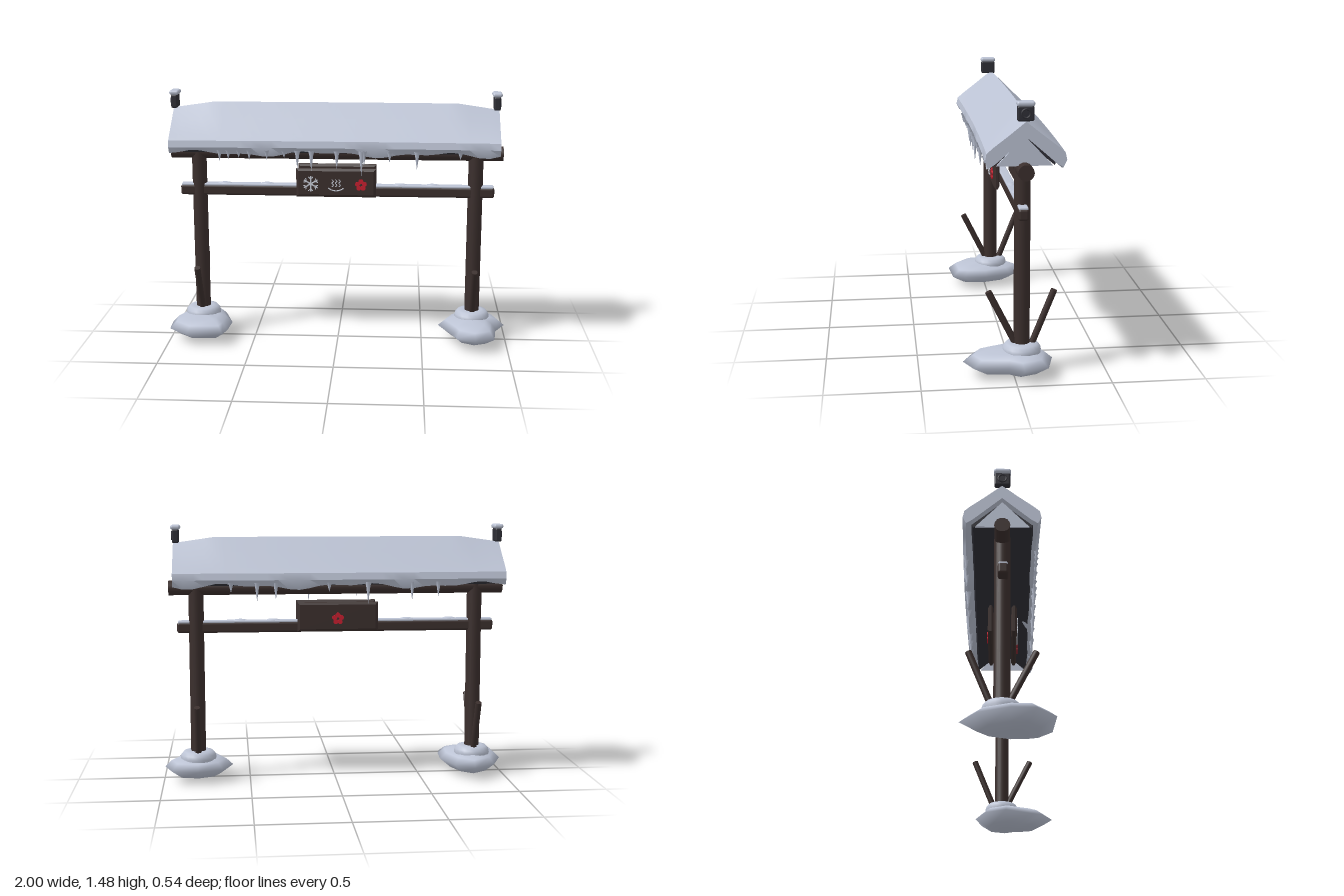
import * as THREE from 'three';
import { toCreasedNormals } from 'three/addons/utils/BufferGeometryUtils.js';
import { RoundedBoxGeometry } from 'three/addons/geometries/RoundedBoxGeometry.js';

const paint = (name, color) => Object.assign(new THREE.MeshStandardMaterial({ color }), { name });
const snow = paint('snow', 0xbcc3d4);
const wood = paint('dark wood', 0x3b2f2d);
const tile = paint('dark tile', 0x2f2f36);
const red = paint('red', 0xc81f2f);
const pale = paint('pale emblem', 0xc9ced8);

const CZ = -0.045; // depth of the posts and the ridge
const V = (x, y, z) => new THREE.Vector3(x, y, z);

function add(parent, name, geometry, material, x = 0, y = 0, z = 0) {
  const mesh = new THREE.Mesh(geometry, material);
  mesh.name = name;
  mesh.position.set(x, y, z);
  parent.add(mesh);
  return mesh;
}

// Skin over closed rings of points; capped adds flat ends for rings running along x
function loft(rings, capped) {
  const n = rings[0].length, index = [];
  const last = (rings.length - 1) * n;
  for (let i = 0; i < rings.length - 1; i++) {
    for (let j = 0; j < n; j++) {
      const a = i * n + j, b = i * n + (j + 1) % n;
      index.push(a, b, b + n, a, b + n, a + n);
    }
  }
  if (capped) {
    const outline = rings[0].map(p => new THREE.Vector2(-p.z, p.y));
    for (const [a, b, c] of THREE.ShapeUtils.triangulateShape(outline, [])) {
      index.push(c, b, a, last + a, last + b, last + c);
    }
  }
  const geometry = new THREE.BufferGeometry().setFromPoints(rings.flat());
  geometry.setIndex(index);
  geometry.computeVertexNormals();
  return geometry;
}

// Round pole between two points
function pole(parent, name, from, to, radius, material, sides = 16) {
  const dir = to.clone().sub(from);
  const mesh = add(parent, name, new THREE.CylinderGeometry(radius, radius, dir.length(), sides), material);
  mesh.position.copy(from).add(to).multiplyScalar(0.5);
  mesh.quaternion.setFromUnitVectors(V(0, 1, 0), dir.normalize());
  return mesh;
}

// Mirror half a roof profile, from ridge top to ridge underside, about the ridge
function roofRing(x, half, bow = 0) {
  const back = half.slice(1, -1).reverse().map(([z, y]) => [-z, y]);
  return [...half, ...back].map(([z, y]) => V(x, y, CZ + bow + z));
}

function buildRoof(group) {
  const x0 = -0.96, x1 = 0.925, rings = [];
  for (let i = 0; i <= 32; i++) {
    const x = x0 + (x1 - x0) * i / 32;
    const edge = Math.min(x - x0, x1 - x);
    const rise = 0.034 * Math.min(edge / 0.235, 1);
    const sag = edge > 0 ? 0.012 * Math.sin(x * 9 + 2.5) + 0.008 * Math.sin(x * 21) : 0;
    const bow = -0.015 * (1 - x * x);
    rings.push(roofRing(x, [[0, 1.378 + rise], [0.085, 1.31 + rise * 0.6], [0.17, 1.245], [0.2, 1.218],
      [0.208, 1.18], [0.19, 1.143 + sag], [0.155, 1.165 + sag * 0.5], [0, 1.3]], bow));
  }
  add(group, 'roofSnow', toCreasedNormals(loft(rings, true), 0.6), snow);

  // Dark boards below the snow, closed by a pale gable at each end
  const boards = [[0, 1.31], [0.165, 1.168], [0.155, 1.145], [0, 1.275]];
  add(group, 'roofBoards', toCreasedNormals(loft([-0.91, 0.875].map(x => roofRing(x, boards)), true), 0.3), tile);
  for (const x of [-0.915, 0.88]) {
    const gable = [-0.006, 0.006].map(d => [[0, 1.3], [0.145, 1.145], [-0.145, 1.145]].map(([z, y]) => V(x + d, y, CZ + z)));
    add(group, 'gable', toCreasedNormals(loft(gable, true), 0.3), snow);
  }

  // Icicles as [x, tip height]
  const front = [[-0.67, 1.1], [-0.62, 1.11], [-0.56, 1.12], [-0.5, 1.11], [-0.4, 1.11], [-0.3, 1.12], [-0.225, 1.06],
    [-0.145, 1.045], [0, 1.06], [0.14, 1.02], [0.155, 1.08], [0.3, 1.1], [0.455, 1.06], [0.7, 1.12]];
  const rear = [[0.455, 1.06], [0.35, 1.07], [0.05, 1.11], [-0.17, 1.04], [-0.42, 1.06], [-0.57, 1.08], [0.6, 1.11]];
  for (const [list, z] of [[front, 0.14], [rear, -0.245]]) {
    for (const [x, tip] of list) {
      const h = 1.165 - tip;
      const profile = [[0, 0], [0.006, h * 0.4], [0.011, h * 0.75], [0.018, h]].map(p => new THREE.Vector2(...p));
      add(group, 'icicle', new THREE.LatheGeometry(profile, 8), snow, x, tip, z);
    }
  }

  // Ridge end blocks with a round boss and a snow cap
  for (const [x, side] of [[-0.95, -1], [0.91, 1]]) {
    add(group, 'ridgeBlock', new RoundedBoxGeometry(0.038, 0.078, 0.086, 2, 0.01), tile, x, 1.418, CZ);
    add(group, 'ridgeBoss', new THREE.TorusGeometry(0.022, 0.005, 6, 16), tile, x + side * 0.019, 1.42, CZ).rotation.y = Math.PI / 2;
    add(group, 'ridgeSnow', new RoundedBoxGeometry(0.055, 0.026, 0.092, 3, 0.012), snow, x, 1.468, CZ);
  }
}

// Post with two leaning struts, a collar of snow and a drift
function buildPost(group, x, outline) {
  pole(group, 'post', V(x, 0.08, CZ), V(x, 1.14, CZ), 0.043, wood, 20);
  pole(group, 'frontStrut', V(x, 0.1, -0.045), V(x, 0.457, 0.133), 0.018, wood, 10);
  pole(group, 'backStrut', V(x, 0.1, -0.075), V(x, 0.457, -0.217), 0.018, wood, 10);
  const collar = [[0.1, 0.1], [0.104, 0.13], [0.1, 0.15], [0.085, 0.168], [0.06, 0.172], [0, 0.172]];
  add(group, 'snowCollar', new THREE.LatheGeometry(collar.map(p => new THREE.Vector2(...p)), 20), snow, x, 0, CZ);
  const levels = [[0, 0], [0.3, 0.005], [0.65, 0.024], [1, 0.076], [0.8, 0.112], [0.55, 0.132], [0, 0.14]];
  const cz = 0;
  const rings = levels.map(([s, y]) => outline.map(([px, pz]) => V(x + (px - x) * s, y, cz + (pz - cz) * s)));
  add(group, 'snowDrift', loft(rings), snow);
}

function buildBeams(group) {
  pole(group, 'topBeam', V(-0.98, 1.122, CZ), V(0.955, 1.122, CZ), 0.042, wood, 14);
  add(group, 'lowerBeam', new RoundedBoxGeometry(1.84, 0.062, 0.056, 2, 0.014), wood, -0.01, 0.893, -0.04);
  add(group, 'beamSnow', new RoundedBoxGeometry(1.83, 0.016, 0.05, 2, 0.007), snow, -0.01, 0.925, -0.04);
  for (const x of [-0.67, -0.42, 0.36, 0.55]) {
    add(group, 'beamSnowLump', new THREE.SphereGeometry(1, 14, 8), snow, x, 0.929, -0.04).scale.set(0.045, 0.011, 0.024);
  }
}

// Five petals around a dark centre
function buildFlower(parent, x, y) {
  const flower = new THREE.Group();
  flower.name = 'flower';
  flower.position.set(x, y, 0.003);
  for (let i = 0; i < 5; i++) {
    const a = Math.PI / 2 + i * Math.PI * 0.4;
    add(flower, 'petal', new THREE.CylinderGeometry(0.014, 0.014, 0.008, 16), red,
      Math.cos(a) * 0.021, Math.sin(a) * 0.021, 0).rotation.x = Math.PI / 2;
  }
  add(flower, 'flowerCentre', new THREE.CylinderGeometry(0.006, 0.006, 0.009, 10), wood, 0, 0, 0.001).rotation.x = Math.PI / 2;
  parent.add(flower);
}

function buildSign(group, name, z, turn) {
  const sign = new THREE.Group();
  sign.name = name;
  sign.position.set(-0.01, 0.955, z);
  sign.rotation.y = turn;
  const w = 0.218, h = 0.07;
  const board = new THREE.Shape([[-w, -h], [w, -h], [w, h], [-w, h]].map(p => new THREE.Vector2(...p)));
  const geometry = new THREE.ExtrudeGeometry(board, { depth: 0.012, bevelThickness: 0.01, bevelSize: 0.014, bevelSegments: 1 });
  add(sign, 'signBoard', geometry, wood, 0, 0, -0.022);
  group.add(sign);
  return sign;
}

function buildFrontEmblems(sign) {
  // Snowflake
  const flake = new THREE.Group();
  flake.name = 'snowflake';
  flake.position.set(-0.147, -0.005, 0.003);
  for (let i = 0; i < 6; i++) {
    const arm = new THREE.Group();
    arm.name = 'snowflakeArm';
    arm.rotation.z = i * Math.PI / 3;
    add(arm, 'armBar', new THREE.BoxGeometry(0.007, 0.046, 0.006), pale, 0, 0.023, 0);
    for (const s of [-1, 1]) {
      add(arm, 'armTwig', new THREE.BoxGeometry(0.005, 0.018, 0.006), pale, s * 0.007, 0.035, 0).rotation.z = -s * 0.8;
    }
    flake.add(arm);
  }
  sign.add(flake);

  // Steam curls above a shallow bowl line
  for (const x of [-0.02, 0, 0.02]) {
    const points = [0, 1, 2, 3, 4].map(k => V(x + (k % 2 ? 0.006 : -0.004), -0.022 + k * 0.011, 0.002));
    add(sign, 'steam', new THREE.TubeGeometry(new THREE.CatmullRomCurve3(points), 16, 0.0028, 5), pale);
  }
  add(sign, 'bowlLine', new THREE.TorusGeometry(0.07, 0.0035, 5, 16, 1.4), pale, 0, 0.025, 0.002).rotation.z = -Math.PI / 2 - 0.7;
  buildFlower(sign, 0.145, -0.01);
}

export function createModel() {
  const gate = new THREE.Group();
  gate.name = 'snowyGate';
  buildRoof(gate);
  buildBeams(gate);
  buildPost(gate, -0.82, [[-1, 0], [-0.995, 0.13], [-0.88, 0.23], [-0.67, 0.215], [-0.65, 0.14], [-0.64, 0],
    [-0.7, -0.17], [-0.8, -0.26], [-0.93, -0.17]]);
  buildPost(gate, 0.8, [[0.995, -0.04], [0.95, -0.17], [0.8, -0.21], [0.66, -0.15], [0.6, -0.02], [0.68, 0.15],
    [0.7, 0.21], [0.81, 0.27], [0.92, 0.22], [0.94, 0.04]]);
  buildFrontEmblems(buildSign(gate, 'frontSign', 0.04, 0));
  buildFlower(buildSign(gate, 'backSign', -0.128, Math.PI), 0, -0.01);
  return gate;
}
